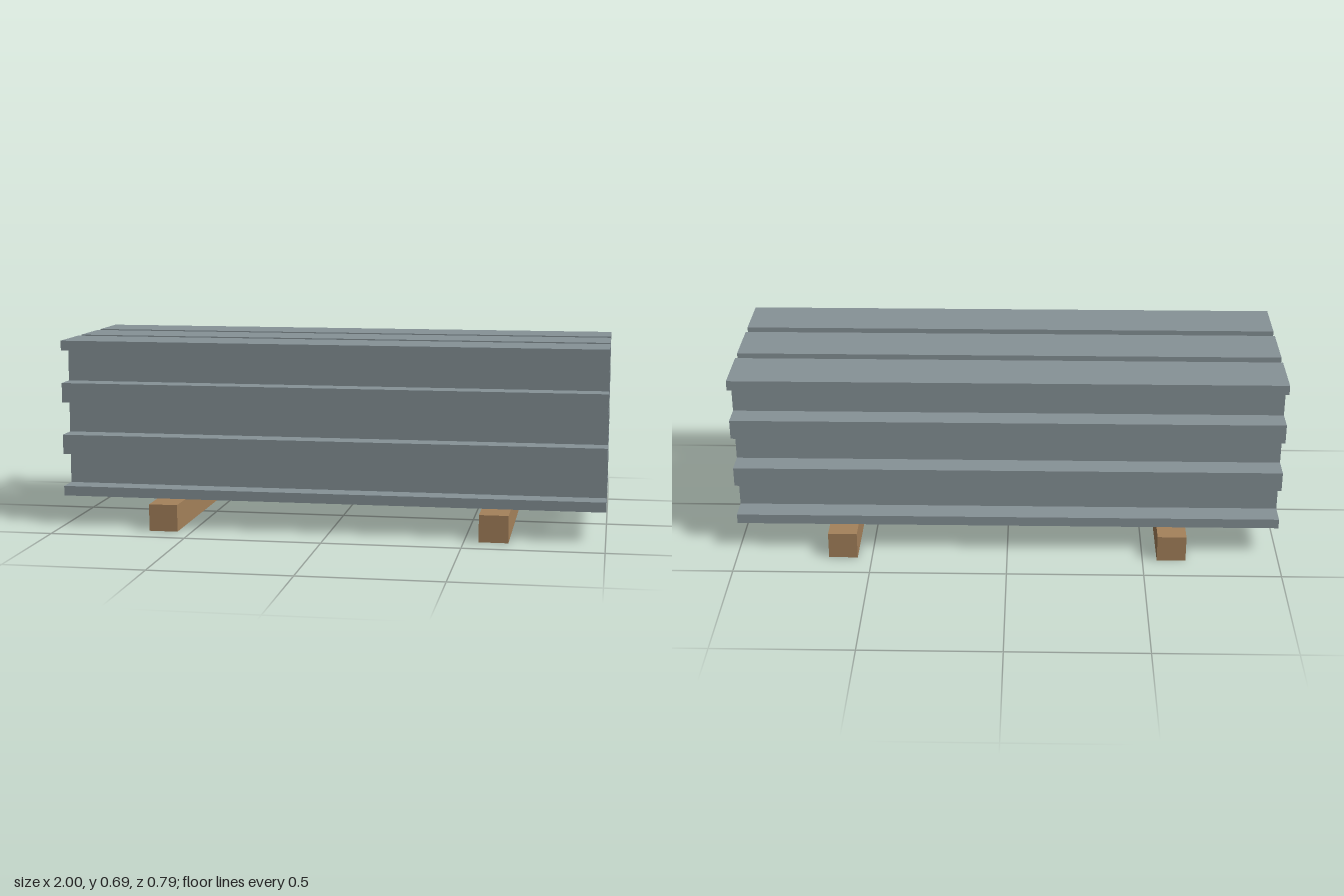
import * as THREE from 'three';

const LENGTH = 2, WIDTH = 0.2, HEIGHT = 0.1933, FLANGE = 0.036, WEB = 0.032;
const BASE = 0.112, PITCH = 0.2425;

// I-section outline, extruded along x and centred on its length
function beamGeometry() {
  const w = WIDTH / 2, h = HEIGHT / 2, t = WEB / 2, f = h - FLANGE;
  const shape = new THREE.Shape([
    [-w, -h], [w, -h], [w, -f], [t, -f], [t, f], [w, f],
    [w, h], [-w, h], [-w, f], [-t, f], [-t, -f], [-w, -f],
  ].map(([x, y]) => new THREE.Vector2(x, y)));
  const geometry = new THREE.ExtrudeGeometry(shape, { depth: LENGTH, bevelEnabled: false });
  return geometry.translate(0, 0, -LENGTH / 2).rotateY(Math.PI / 2);
}

export function createModel() {
  const model = new THREE.Group();
  model.name = 'beamStack';
  const steel = new THREE.MeshStandardMaterial({ color: 0x869297 });
  const wood = new THREE.MeshStandardMaterial({ color: 0xa5825b });

  // Three rows of three stacked beams
  const beam = beamGeometry();
  for (let row = -1; row <= 1; row++) {
    for (let level = 0; level < 3; level++) {
      const mesh = new THREE.Mesh(beam, steel);
      mesh.name = 'steelBeam';
      mesh.position.set(0, BASE + HEIGHT * (level + 0.5), row * PITCH);
      model.add(mesh);
    }
  }

  // Timber bearers on the ground
  const timber = new THREE.BoxGeometry(0.106, 0.099, 0.788);
  for (const [side, name] of [[-1, 'rightTimber'], [1, 'leftTimber']]) {
    const mesh = new THREE.Mesh(timber, wood);
    mesh.name = name;
    mesh.position.set(side * 0.606, 0.0495, 0);
    model.add(mesh);
  }
  return model;
}
